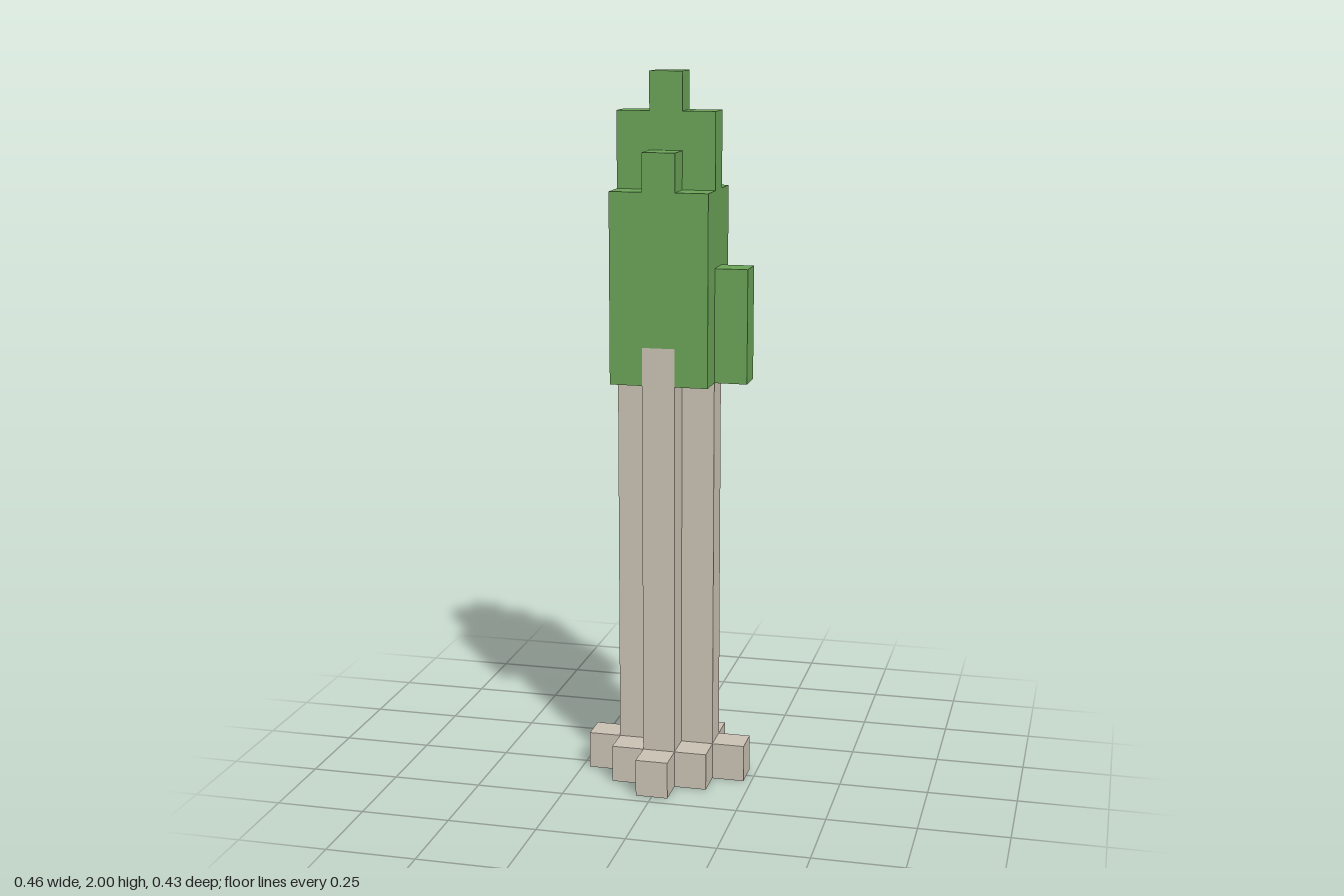
import * as THREE from 'three';

// Size of one block cell along each axis
const CX = 0.0912, CY = 2 / 19, CZ = 0.086;

export function createModel() {
  const model = new THREE.Group();
  model.name = 'blockTree';

  const bark = new THREE.MeshStandardMaterial({ color: 0xc9c1b3 });
  bark.name = 'paleBark';
  const leaf = new THREE.MeshStandardMaterial({ color: 0x6aa256 });
  leaf.name = 'leafGreen';

  const add = (name, geometry, material) => {
    const mesh = new THREE.Mesh(geometry, material);
    mesh.name = name;
    model.add(mesh);
  };

  // Box centred on cell (x, z), w by d cells wide, between two levels
  const block = (name, material, x, z, w, d, y0, y1) => {
    const g = new THREE.BoxGeometry(w * CX, (y1 - y0) * CY, d * CZ);
    g.translate(x * CX, ((y0 + y1) / 2) * CY, z * CZ);
    add(name, g, material);
  };

  // Prism from one quarter of a plan outline, turned four times
  const prism = (name, material, quarter, y0, y1) => {
    const points = [];
    for (let k = 0; k < 4; k++) {
      for (let [x, z] of quarter) {
        for (let i = 0; i < k; i++) [x, z] = [-z, x];
        points.push(new THREE.Vector2(x * CX, z * CZ));
      }
    }
    const g = new THREE.ExtrudeGeometry(new THREE.Shape(points), {
      depth: (y1 - y0) * CY, bevelEnabled: false,
    });
    g.rotateX(-Math.PI / 2).translate(0, y0 * CY, 0);
    add(name, g, material);
  };

  // Root flare and cross-shaped trunk
  prism('roots', bark,
    [[2.5, -0.5], [2.5, 0.5], [1.5, 0.5], [1.5, 1.5], [0.5, 1.5]], 0, 1);
  prism('trunk', bark, [[1.5, -0.5], [1.5, 0.5], [0.5, 0.5]], 1, 12);

  // Crown, with its corners hanging one level lower around the trunk
  block('crown', leaf, 0, 0, 3, 3, 12, 16);
  for (const x of [-1, 1]) {
    for (const z of [-1, 1]) block('crownCorner', leaf, x, z, 1, 1, 11, 12);
  }

  // Stepped top
  block('topLengthwise', leaf, 0, 0, 1, 3, 16, 17);
  block('topCrosswise', leaf, 0, 0, 3, 1, 16, 18);
  block('tip', leaf, 0, 0, 1, 1, 18, 19);

  // Leaf clump on the left side
  block('sideClump', leaf, 2, 0, 1, 1, 11, 14);

  return model;
}
